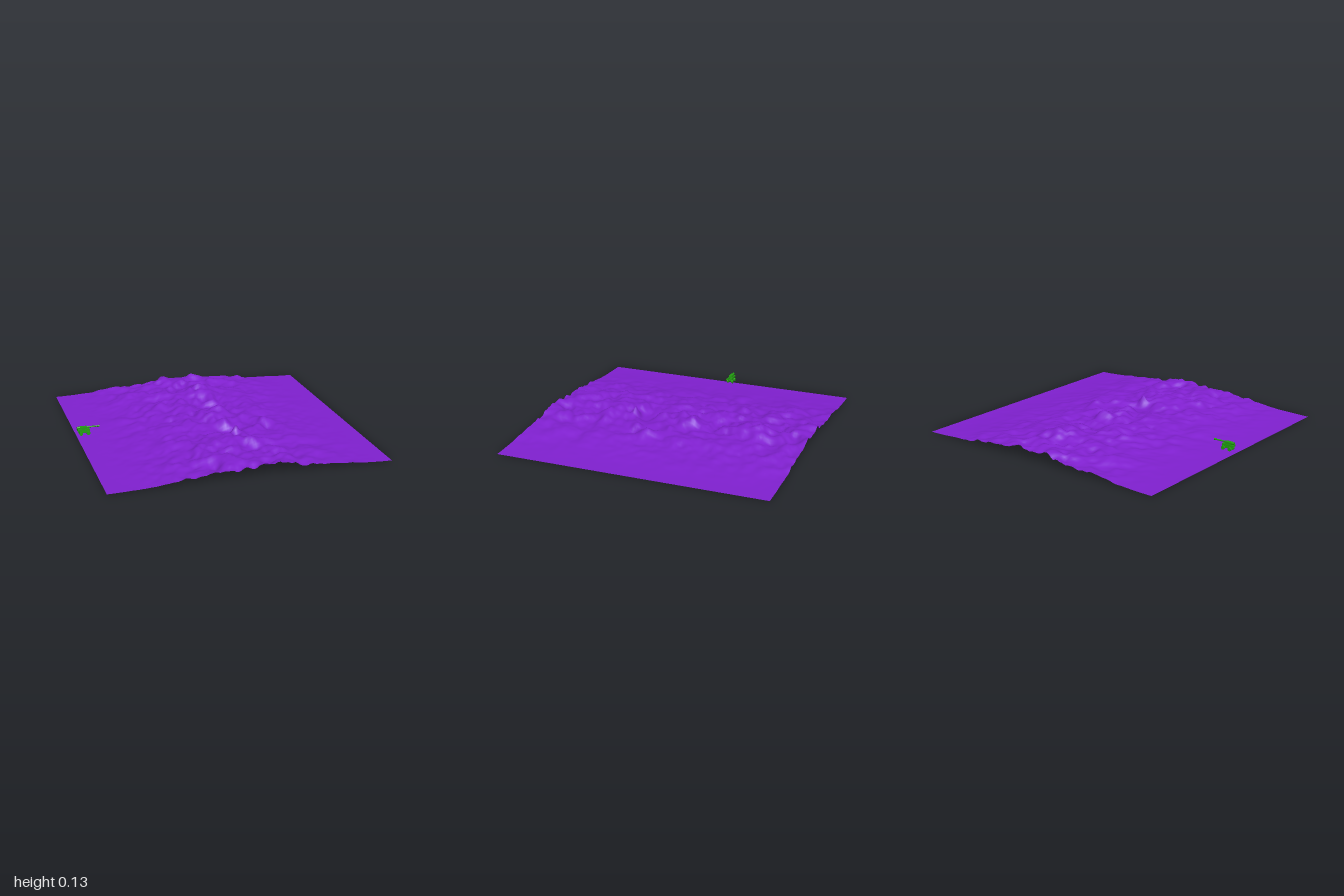
import * as THREE from 'three';

const purple = new THREE.MeshStandardMaterial({ color: 0x8020d0, side: THREE.DoubleSide });
const green = new THREE.MeshStandardMaterial({ color: 0x22a010 });

// repeatable lattice value in 0..1
function hash(i, j) {
  let h = Math.imul(i + 131, 374761393) ^ Math.imul(j + 57, 668265263);
  h = Math.imul(h ^ (h >>> 13), 1274126177);
  return ((h ^ (h >>> 16)) >>> 0) / 4294967295;
}

// smooth value noise in -1..1
function noise(x, z) {
  const i = Math.floor(x), j = Math.floor(z);
  const s = THREE.MathUtils.smoothstep(x - i, 0, 1), t = THREE.MathUtils.smoothstep(z - j, 0, 1);
  const a = THREE.MathUtils.lerp(hash(i, j), hash(i + 1, j), s);
  const b = THREE.MathUtils.lerp(hash(i, j + 1), hash(i + 1, j + 1), s);
  return THREE.MathUtils.lerp(a, b, t) * 2 - 1;
}

// main rock mounds: x, z, radius, height
const mounds = [
  [0.05, 0.12, 0.09, 0.03], [-0.2, 0.03, 0.07, 0.03], [0, 0.5, 0.08, 0.03], [0.15, 0.53, 0.08, 0.025],
  [0.08, 0.34, 0.03, 0.055], [0.05, -0.03, 0.07, 0.025], [0.1, -0.13, 0.07, 0.03], [0.05, -0.49, 0.06, 0.02],
  [0.1, -0.63, 0.08, 0.035], [0.12, -0.81, 0.08, 0.03], [-0.47, -0.49, 0.06, 0.03], [-0.5, -0.22, 0.06, 0.025],
  [-0.3, -0.38, 0.06, 0.03], [-0.45, -0.75, 0.08, 0.03], [-0.22, -0.74, 0.07, 0.03], [0.45, -0.83, 0.07, 0.03],
  [0.4, 0.15, 0.07, 0.03], [0.28, 0.72, 0.07, 0.03], [0.43, 0.9, 0.07, 0.03], [-0.25, 0.55, 0.08, 0.025],
  [0.04, 0.25, 0.09, -0.03], [0.05, 0.05, 0.05, -0.02], [0.05, -0.36, 0.1, -0.02], [0.05, 0.68, 0.05, -0.02],
];

// long ridge that fades to flat ground at both sides
function height(x, z) {
  const fade = Math.cos(x * Math.PI / 2) ** 2;
  let h = 0.07 + 0.023 * noise(x * 8, z * 8) + 0.017 * noise(x * 17 + 40, z * 17) + 0.008 * noise(x * 34, z * 34 + 70);
  for (const [mx, mz, r, a] of mounds) h += a * Math.exp(-((x - mx) ** 2 + (z - mz) ** 2) / (r * r) * 1.6);
  return fade * Math.max(h, 0.03);
}

function terrain() {
  const geo = new THREE.PlaneGeometry(2, 2, 110, 110).rotateX(-Math.PI / 2);
  const p = geo.attributes.position;
  for (let i = 0; i < p.count; i++) p.setY(i, height(p.getX(i), p.getZ(i)));
  geo.computeVertexNormals();
  const mesh = new THREE.Mesh(geo, purple);
  mesh.name = 'ridgeTerrain';
  return mesh;
}

function cannon() {
  const g = new THREE.Group();
  g.name = 'cannon';
  const add = (name, geo, x, y, z) => {
    const m = new THREE.Mesh(geo, green);
    m.name = name;
    m.position.set(x, y, z);
    g.add(m);
  };
  const tube = (r, len) => new THREE.CylinderGeometry(r, r, len, 16).rotateZ(Math.PI / 2);
  add('chassis', new THREE.BoxGeometry(0.075, 0.014, 0.026), 0, 0.046, 0);
  add('upperHull', new THREE.BoxGeometry(0.09, 0.012, 0.034), -0.007, 0.061, 0);
  add('turret', new THREE.BoxGeometry(0.05, 0.018, 0.026), -0.007, 0.075, 0);
  add('breech', tube(0.009, 0.03), -0.038, 0.077, 0);
  add('barrel', tube(0.005, 0.1), 0.06, 0.078, 0);
  add('muzzle', tube(0.007, 0.016), 0.104, 0.078, 0);
  // two wheels and an axle at each end
  for (const x of [-0.027, 0.027]) {
    add('axle', new THREE.CylinderGeometry(0.004, 0.004, 0.04, 10).rotateX(Math.PI / 2), x, 0.037, 0);
    for (const side of [-1, 1])
      add('wheel', new THREE.CylinderGeometry(0.014, 0.014, 0.01, 18).rotateX(Math.PI / 2), x, 0.037, side * 0.019);
  }
  g.position.set(-0.948, 0, -0.045);
  return g;
}

export function createModel() {
  const model = new THREE.Group();
  model.name = 'terrainWithCannon';
  model.add(terrain(), cannon());
  return model;
}
